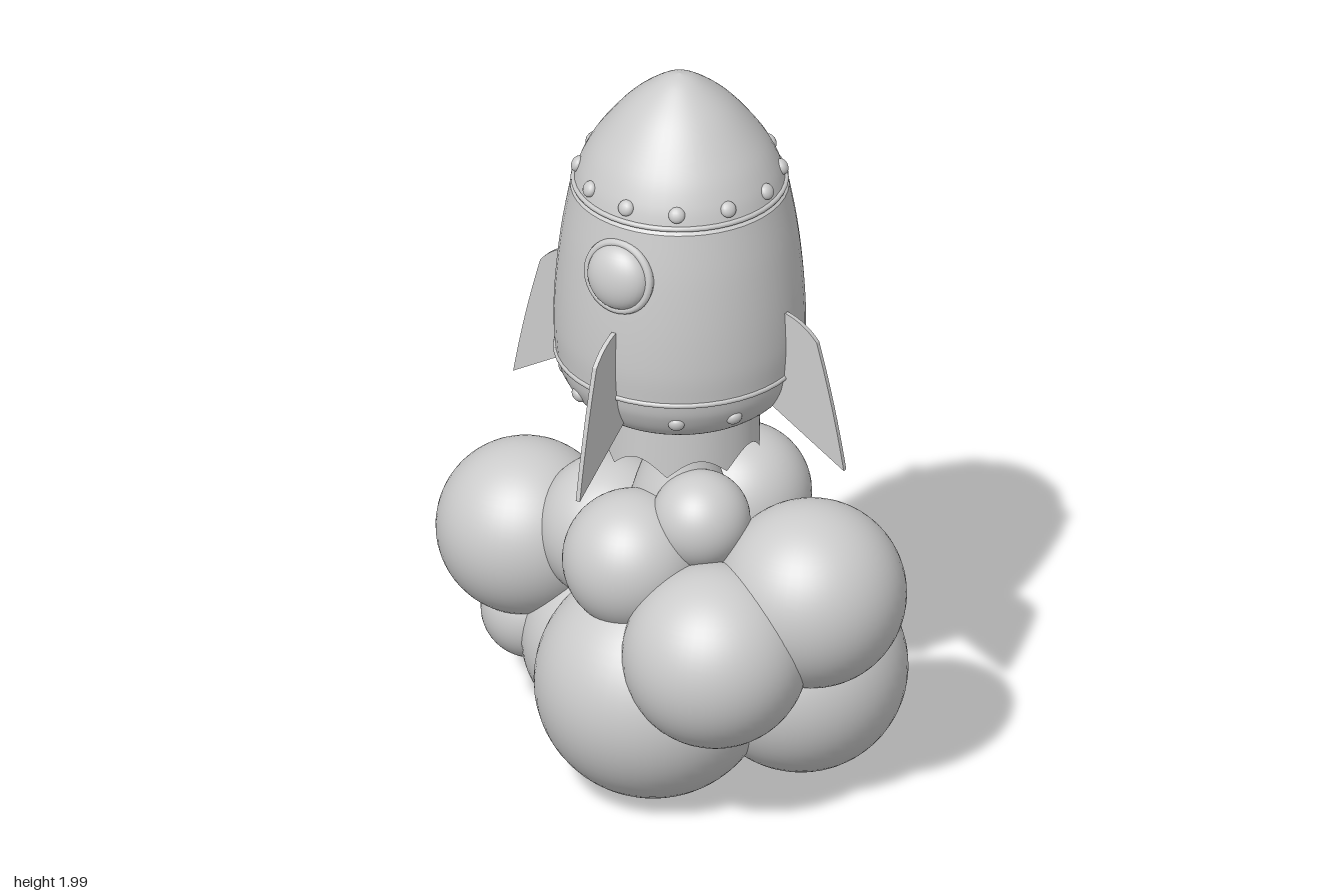
import * as THREE from 'three';

const grey = new THREE.MeshStandardMaterial({ color: 0xcccccc });
const greyDouble = new THREE.MeshStandardMaterial({ color: 0xcccccc, side: THREE.DoubleSide });

function add(parent, name, geometry, material = grey) {
  const mesh = new THREE.Mesh(geometry, material);
  mesh.name = name;
  parent.add(mesh);
  return mesh;
}

// Smooth turned shape from [radius, y] pairs listed bottom to top
function turned(pairs, steps = 24) {
  const curve = new THREE.SplineCurve(pairs.map(([r, y]) => new THREE.Vector2(r, y)));
  const points = curve.getPoints(steps);
  points.forEach((p) => { p.x = Math.max(p.x, 0); });
  return new THREE.LatheGeometry(points, 48);
}

// Flattened rivet heads around the hull, tilted to follow its slope
function addRivets(parent, name, radius, y, tilt, skipFins) {
  for (let i = 0; i < 12; i++) {
    if (skipFins && i % 3 === 0) continue;
    const pivot = new THREE.Group();
    pivot.rotation.y = (i * Math.PI) / 6;
    parent.add(pivot);
    const rivet = add(pivot, name, new THREE.SphereGeometry(0.021, 16, 10));
    rivet.position.set(0, y, radius);
    rivet.rotation.x = tilt;
    rivet.scale.z = 0.7;
  }
}

function buildRocket() {
  const rocket = new THREE.Group();
  rocket.name = 'rocket';

  // Hull sections
  add(rocket, 'noseCone', turned([[0.267, 1.697], [0.25, 1.75], [0.212, 1.82], [0.135, 1.915], [0.05, 1.982], [0, 2]]));
  add(rocket, 'hull', turned([[0.312, 1.222], [0.317, 1.3], [0.312, 1.42], [0.297, 1.56], [0.275, 1.685]]));
  add(rocket, 'hullTop', new THREE.CylinderGeometry(0.262, 0.275, 0.012, 48)).position.y = 1.691;
  add(rocket, 'tailSection', turned([[0.2, 1.08], [0.232, 1.088], [0.272, 1.12], [0.3, 1.17], [0.31, 1.212]]));
  add(rocket, 'tailFloor', new THREE.CylinderGeometry(0.2, 0.2, 0.01, 48)).position.y = 1.085;

  // Thin seam bands
  for (const [name, r, y] of [['noseBand', 0.267, 1.7], ['tailBand', 0.311, 1.216]]) {
    const band = add(rocket, name, new THREE.TorusGeometry(r, 0.007, 8, 48));
    band.rotation.x = Math.PI / 2;
    band.position.y = y;
  }

  addRivets(rocket, 'noseRivet', 0.257, 1.735, -0.45, false);
  addRivets(rocket, 'tailRivet', 0.288, 1.15, 0.55, true);

  // Portholes on the front and back
  for (const turn of [0, Math.PI]) {
    const side = new THREE.Group();
    side.rotation.y = turn;
    rocket.add(side);
    const porthole = new THREE.Group();
    porthole.name = 'porthole';
    porthole.position.set(0, 1.555, 0.292);
    porthole.rotation.x = -0.14;
    side.add(porthole);
    add(porthole, 'portholeRim', new THREE.TorusGeometry(0.089, 0.011, 10, 40));
    const collar = add(porthole, 'portholeCollar', new THREE.CylinderGeometry(0.097, 0.097, 0.04, 40));
    collar.rotation.x = Math.PI / 2;
    collar.position.z = -0.02;
    add(porthole, 'portholeGlass', new THREE.SphereGeometry(0.086, 32, 20)).scale.z = 0.6;
  }

  // Four swept fins
  const outline = new THREE.Shape();
  outline.moveTo(0.24, 1.13);
  outline.lineTo(0.27, 1.13);
  outline.lineTo(0.487, 1.0);
  outline.quadraticCurveTo(0.455, 1.18, 0.407, 1.345);
  outline.quadraticCurveTo(0.37, 1.39, 0.315, 1.403);
  outline.lineTo(0.27, 1.38);
  outline.closePath();
  const finShape = new THREE.ExtrudeGeometry(outline, { depth: 0.012, bevelEnabled: false, curveSegments: 8 });
  finShape.translate(0, 0, -0.006);
  for (let i = 0; i < 4; i++) add(rocket, 'fin', finShape).rotation.y = (i * Math.PI) / 2;

  // Engine skirt with eight scalloped arches along its lower edge
  const skirt = new THREE.CylinderGeometry(0.198, 0.202, 0.15, 96, 1, true);
  const pos = skirt.attributes.position;
  for (let i = 0; i < pos.count; i++) {
    const angle = Math.atan2(pos.getX(i), pos.getZ(i));
    pos.setY(i, pos.getY(i) > 0 ? 1.095 : 0.945 + 0.045 * Math.abs(Math.cos(4 * angle)));
  }
  skirt.computeVertexNormals();
  add(rocket, 'engineSkirt', skirt, greyDouble);

  // Exhaust column flaring down into the smoke
  add(rocket, 'exhaust', turned([[0.19, 0.5], [0.155, 0.67], [0.115, 0.82], [0.078, 0.94], [0.06, 1.08]]), greyDouble);

  rocket.position.x = 0.024;
  return rocket;
}

// Smoke puffs: x, y, z, radius
const puffs = [
  [0.02, 0.31, 0.12, 0.3],
  [0.26, 0.495, 0.213, 0.235],
  [0.41, 0.615, -0.003, 0.24],
  [0.302, 0.315, -0.128, 0.27],
  [-0.43, 0.563, 0, 0.226],
  [-0.41, 0.335, 0, 0.13],
  [-0.175, 0.635, 0, 0.19],
  [-0.015, 0.667, 0.16, 0.178],
  [0.135, 0.787, 0.08, 0.125],
  [0.05, 0.682, -0.253, 0.177],
  [0.034, 0.42, -0.275, 0.165],
  [-0.235, 0.475, -0.25, 0.16],
  [-0.19, 0.3, -0.02, 0.226],
];

export function createModel() {
  const model = new THREE.Group();
  model.name = 'rocketOnSmoke';
  model.add(buildRocket());

  const smoke = new THREE.Group();
  smoke.name = 'smokeCloud';
  model.add(smoke);
  for (const [x, y, z, r] of puffs) {
    add(smoke, 'smokePuff', new THREE.SphereGeometry(r, 48, 32)).position.set(x, y, z);
  }
  return model;
}
